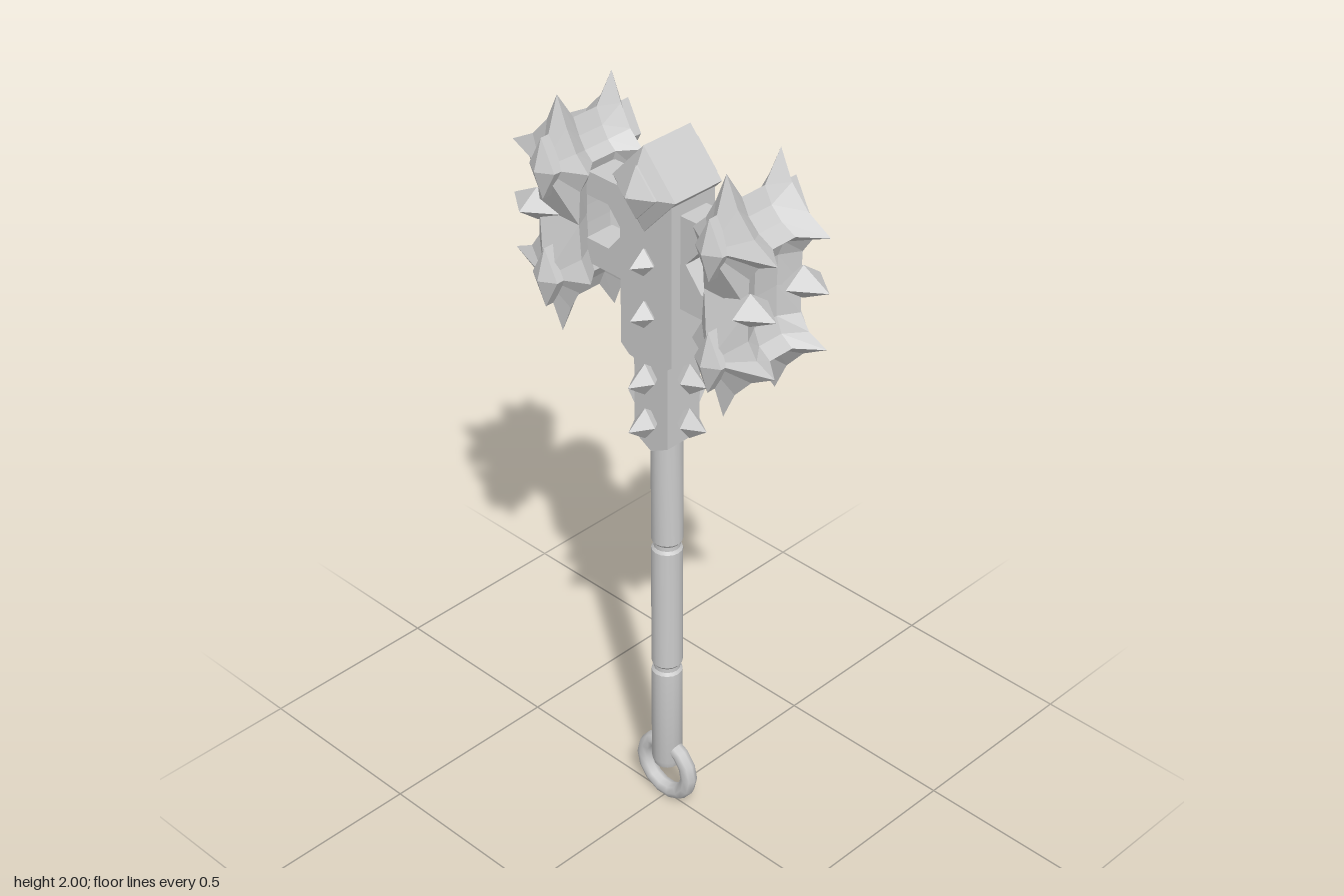
import * as THREE from 'three';
import { toCreasedNormals } from 'three/addons/utils/BufferGeometryUtils.js';

const flat = new THREE.MeshStandardMaterial({ color: 0xcccccc, flatShading: true });
const smooth = new THREE.MeshStandardMaterial({ color: 0xcccccc });
const vec2 = (pts) => pts.map(([x, y]) => new THREE.Vector2(x, y));

function add(parent, name, geometry, material = flat) {
  const mesh = new THREE.Mesh(geometry, material);
  mesh.name = name;
  parent.add(mesh);
  return mesh;
}

// Four-sided turned form whose axis points along +z
const diamond = (profile) => new THREE.LatheGeometry(vec2(profile), 4).rotateX(Math.PI / 2);

// Outline in x/y extruded symmetrically about z = 0
function slab(pts, halfDepth, holes = []) {
  const shape = new THREE.Shape(vec2(pts));
  holes.forEach((h) => shape.holes.push(new THREE.Path(vec2(h))));
  return new THREE.ExtrudeGeometry(shape, { depth: 2 * halfDepth, bevelEnabled: false })
    .translate(0, 0, -halfDepth);
}

// Pointed stud with its own half sizes
function stud(parent, name, pos, size) {
  const mesh = add(parent, name, new THREE.OctahedronGeometry(1).scale(...size));
  mesh.position.set(...pos);
}

// Double star block: waisted loft along z, closed by two shallow star pyramids per face
function starBlockGeometry() {
  const upper = [[0.07, 0], [0.073, 0.08], [0.1, 0.12], [0.155, 0.145], [0.085, 0.185], [0.035, 0.24],
    [0, 0.315], [-0.03, 0.24], [-0.06, 0.185], [-0.1, 0.145], [-0.07, 0.09], [-0.064, 0]];
  const lower = upper.slice(1, -1).reverse().map(([x, y]) => [x, -y]);
  const outline = [...upper, ...lower];
  const n = outline.length;
  const pinch = ([x, y]) => {
    const over = Math.max(0, Math.abs(y) - 0.145);
    return [x * 0.61, y - Math.sign(y) * over * 0.45];
  };
  const ring = (z, narrow) => outline.map((p) => [...(narrow ? pinch(p) : p), z]);
  const rings = [ring(-0.087), ring(-0.037, true), ring(0.037, true), ring(0.087)];
  const out = [];
  const tri = (a, b, c) => out.push(...a, ...b, ...c);
  for (let k = 0; k < 3; k++) {
    for (let i = 0; i < n; i++) {
      const j = (i + 1) % n;
      tri(rings[k][i], rings[k][j], rings[k + 1][j]);
      tri(rings[k][i], rings[k + 1][j], rings[k + 1][i]);
    }
  }
  for (const s of [1, -1]) {
    for (const t of [1, -1]) {
      const apex = [0, 0.145 * t, 0.142 * s];
      upper.forEach(([x, y], i) => {
        const [x2, y2] = upper[(i + 1) % upper.length];
        const a = [x, y * t, 0.087 * s];
        const b = [x2, y2 * t, 0.087 * s];
        if (s * t > 0) tri(a, b, apex);
        else tri(b, a, apex);
      });
    }
  }
  const g = new THREE.BufferGeometry();
  g.setAttribute('position', new THREE.Float32BufferAttribute(out, 3));
  g.computeVertexNormals();
  return g;
}

export function createModel() {
  const model = new THREE.Group();
  model.name = 'warHammer';

  // Handle with two grooves and chamfered ends
  const grip = [[0, 0.12], [0.034, 0.12], [0.04, 0.14]];
  for (const y of [0.445, 0.83]) {
    grip.push([0.04, y - 0.014], [0.034, y - 0.006], [0.034, y + 0.006], [0.04, y + 0.014]);
  }
  grip.push([0.04, 1.2], [0, 1.2]);
  add(model, 'handle', toCreasedNormals(new THREE.LatheGeometry(vec2(grip), 16), 0.5), smooth);

  // Pommel ring
  add(model, 'pommelRing', new THREE.TorusGeometry(0.079, 0.022, 8, 14), smooth).position.y = 0.103;

  // Collar with a pointed lower edge and two rows of studs
  add(model, 'collar', slab([[-0.055, 1.16], [0, 1.13], [0.055, 1.16], [0.055, 1.42], [-0.055, 1.42]], 0.055));
  for (const y of [1.22, 1.345]) {
    for (const s of [1, -1]) {
      stud(model, 'collarSideStud', [s * 0.075, y, 0], [0.056, 0.043, 0.033]);
      stud(model, 'collarFaceStud', [0, y, s * 0.075], [0.033, 0.043, 0.056]);
    }
  }

  // Central column, its studs and the diamond cap
  add(model, 'column', slab([[-0.083, 1.41], [-0.055, 1.387], [0.055, 1.387], [0.083, 1.41],
    [0.083, 1.86], [-0.083, 1.86]], 0.07));
  for (const y of [1.525, 1.665]) {
    for (const s of [1, -1]) stud(model, 'columnStud', [0, y, s * 0.077], [0.033, 0.037, 0.045]);
  }
  const half = [[0.1, 0.075], [0.062, 0.095], [0.062, 0.1], [0.01, 0.13], [0, 0.135]];
  const capProfile = [...half.map(([r, z]) => [r, -z]).reverse(), ...half];
  add(model, 'cap', diamond(capProfile).scale(1, 1.1, 1)).position.y = 1.855;

  // Two sides: pierced cross arm plus a spiked striking head
  const star = starBlockGeometry();
  const boss = diamond([[0.042, 0.09], [0.042, 0.14], [0, 0.165]]).scale(1, 1.9, 1);
  for (const s of [1, -1]) {
    const side = new THREE.Group();
    side.name = s > 0 ? 'leftSide' : 'rightSide';
    side.position.y = 1.685;
    side.rotation.y = s > 0 ? 0 : Math.PI;
    model.add(side);

    add(side, 'crossArm', slab([[0.05, -0.125], [0.26, -0.125], [0.26, 0.12], [0.05, 0.12]], 0.042,
      [[[0.1, 0], [0.15, 0.057], [0.225, 0.057], [0.225, -0.06], [0.15, -0.06]]]));

    const head = new THREE.Group();
    head.name = 'strikingHead';
    head.position.x = 0.265;
    side.add(head);
    add(head, 'starBlock', star);
    for (const f of [1, -1]) {
      stud(head, 'edgeSpike', [0.077, 0.003, f * 0.087], [0.079, 0.043, 0.058]);
      for (const t of [1, -1]) {
        const mesh = add(head, 'starBoss', boss);
        mesh.position.y = 0.145 * t;
        mesh.rotation.y = f > 0 ? 0 : Math.PI;
      }
    }
  }
  return model;
}
